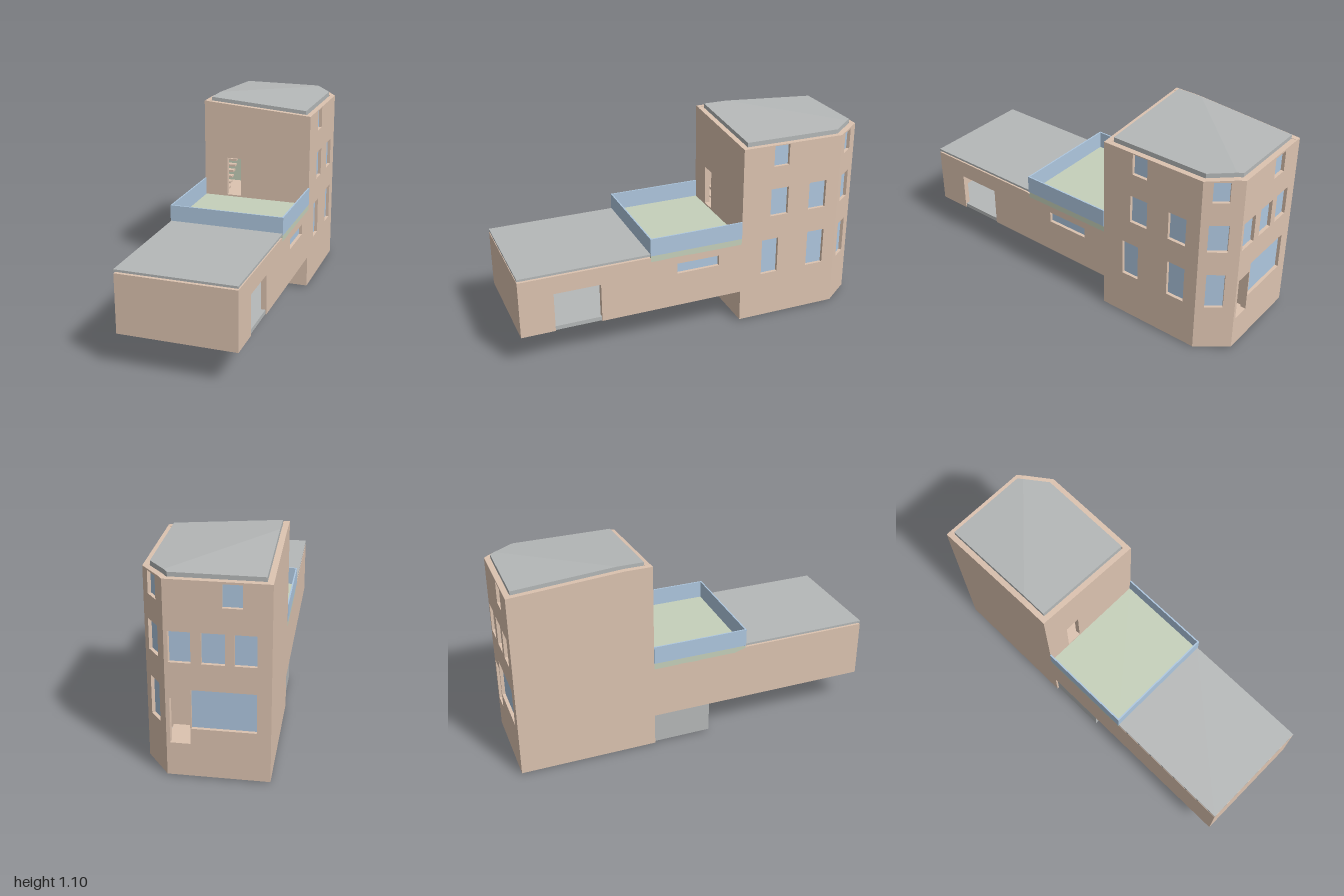
import * as THREE from 'three';
import { ConvexGeometry } from 'three/addons/geometries/ConvexGeometry.js';

const paint = (name, color) => {
  const m = new THREE.MeshStandardMaterial({ color });
  m.name = name;
  return m;
};

export function createModel() {
  const model = new THREE.Group();
  model.name = 'house';
  const tan = paint('tan plaster', 0xdcc3b0);
  const gray = paint('gray slab', 0xb5b8b8);
  const blue = paint('blue glass', 0xaec7df);
  const green = paint('sage green', 0xc5d0ba);

  const add = (parent, name, geometry, material) => {
    const mesh = new THREE.Mesh(geometry, material);
    mesh.name = name;
    parent.add(mesh);
    return mesh;
  };
  // Box given by its limits on each axis
  const box = (parent, name, material, [x0, x1], [y0, y1], [z0, z1]) => {
    const mesh = add(parent, name, new THREE.BoxGeometry(x1 - x0, y1 - y0, z1 - z0), material);
    mesh.position.set((x0 + x1) / 2, (y0 + y1) / 2, (z0 + z1) / 2);
    return mesh;
  };
  const rectPath = (u0, u1, y0, y1) => new THREE.Path([
    new THREE.Vector2(u0, y0), new THREE.Vector2(u0, y1),
    new THREE.Vector2(u1, y1), new THREE.Vector2(u1, y0),
  ]);

  const T = 0.03; // wall thickness
  // Wall from (x,z) a to b, outside on the right-hand side of travel seen from above.
  // Openings are [u0, u1, y0, y1]; windows get a recessed pane, doors stay open.
  function wall(parent, name, a, b, base, top, { windows = [], doors = [], notch } = {}) {
    const dx = b[0] - a[0], dz = b[1] - a[1], len = Math.hypot(dx, dz);
    const group = new THREE.Group();
    group.name = name;
    group.position.set(a[0], 0, a[1]);
    group.rotation.y = Math.atan2(-dz, dx);
    parent.add(group);
    const s = new THREE.Shape();
    s.moveTo(0, base);
    if (notch) {
      const [u0, u1, y1] = notch;
      s.lineTo(u0, base); s.lineTo(u0, y1); s.lineTo(u1, y1); s.lineTo(u1, base);
    }
    s.lineTo(len, base);
    const n = 16;
    for (let i = n; i >= 0; i--) {
      const t = i / n;
      s.lineTo(len * t, top(a[0] + dx * t, a[1] + dz * t));
    }
    [...windows, ...doors].forEach((o) => s.holes.push(rectPath(...o)));
    const g = new THREE.ExtrudeGeometry(s, { depth: T, bevelEnabled: false });
    g.translate(0, 0, -T);
    add(group, 'wallPanel', g, tan);
    windows.forEach(([u0, u1, y0, y1]) =>
      box(group, 'windowPane', blue, [u0, u1], [y0, y1], [-0.026, -0.018]));
  }

  const L = -0.317, R = 0.315;

  // Tower: two sloping roof planes meet along a diagonal crease
  const tower = new THREE.Group();
  tower.name = 'tower';
  model.add(tower);
  const roofY = (x, z) => Math.min(1.103 - 0.076 * (x + 0.285), 1.065 + 0.07 * (z + 0.97));
  const rim = (x, z) => roofY(x, z) - 0.02;
  const B = 0.01, low = [0.275, 0.485], mid = [0.625, 0.785], high = [0.915, 1.032];
  wall(tower, 'towerFrontWall', [L, -0.25], [R, -0.25], B, rim, { doors: [[0.137, 0.222, 0.53, 0.755]] });
  wall(tower, 'towerRightWall', [R, -0.25], [R, -0.84], B, rim, {
    windows: [[0.18, 0.27, ...high], [0.17, 0.275, ...mid], [0.405, 0.51, ...mid],
      [0.125, 0.225, ...low], [0.41, 0.515, ...low]],
  });
  wall(tower, 'towerCornerWall', [R, -0.84], [0.19, -1], B, rim, {
    windows: [[0.05, 0.133, ...high], [0.041, 0.142, ...mid], [0.047, 0.142, ...low]],
  });
  wall(tower, 'towerBackWall', [0.19, -1], [L, -1], B, rim, {
    windows: [[0.275, 0.37, ...high], [0.018, 0.126, ...mid], [0.176, 0.288, ...mid],
      [0.332, 0.438, ...mid], [0.124, 0.438, ...low]],
    doors: [[0.018, 0.118, 0.19, 0.435]],
  });
  wall(tower, 'towerLeftWall', [L, -1], [L, -0.25], B, rim);

  // Roof slab as a convex prism, including the crease ends
  const outline = [[-0.285, -0.285], [0.28, -0.285], [0.28, -0.83], [0.19, -0.944],
    [0.17, -0.97], [-0.285, -0.97], [-0.285, -0.427]];
  const roofPoints = outline.flatMap(([x, z]) =>
    [new THREE.Vector3(x, roofY(x, z), z), new THREE.Vector3(x, 1.0, z)]);
  add(tower, 'towerRoof', new ConvexGeometry(roofPoints), gray);

  // Ground slab with the same cut corner
  const basePoints = outline.flatMap(([x, z]) =>
    [new THREE.Vector3(x, 0, z), new THREE.Vector3(x, 0.03, z)]);
  add(tower, 'groundSlab', new ConvexGeometry(basePoints), gray);

  // Rooms seen through the two open doorways
  box(tower, 'upperFloor', tan, [-0.29, 0.28], [0.5, 0.525], [-0.8, -0.28]);
  box(tower, 'upperRoomWall', green, [-0.29, 0.28], [0.525, 0.9], [-0.56, -0.55]);
  for (let i = 0; i < 9; i++) {
    const y = 0.55 + i * 0.027, z = -0.29 - i * 0.027;
    box(tower, 'stairStep', tan, [-0.285, -0.185], [y, y + 0.012], [z - 0.035, z]);
  }
  box(tower, 'lobbyFloor', tan, [-0.05, 0.19], [0.17, 0.19], [-0.975, -0.82]);
  box(tower, 'lobbyWall', tan, [-0.05, 0.25], [0.17, 0.5], [-0.83, -0.82]);
  box(tower, 'lobbySideWall', tan, [0.05, 0.06], [0.17, 0.5], [-0.968, -0.82]);

  // Long wing raised above the ground, hollow behind the garage opening
  const wing = new THREE.Group();
  wing.name = 'wing';
  model.add(wing);
  const wingTop = (x, z) => (z > 0.29 ? 0.51 : 0.487);
  wall(wing, 'wingFrontWall', [L, 1], [R, 1], 0.19, () => 0.51);
  wall(wing, 'wingRightWall', [R, 1], [R, -0.25], 0.19, wingTop,
    { windows: [[0.87, 1.115, 0.385, 0.445]], notch: [0.185, 0.44, 0.41] });
  wall(wing, 'wingLeftWall', [L, -0.25], [L, 1], 0.19, wingTop);
  box(wing, 'wingFloor', gray, [L + 0.028, R - 0.005], [0.192, 0.215], [0.56, 0.815]);
  box(wing, 'wingFloor', gray, [L + 0.028, R - 0.028], [0.193, 0.214], [-0.25, 0.972]);
  box(wing, 'wingRoof', gray, [L, R], [0.519, 0.531], [0.28, 1]);

  // Terrace with a glass parapet on three sides
  box(wing, 'terraceFloor', green, [L, R], [0.485, 0.521], [-0.25, 0.28]);
  box(wing, 'parapetFront', blue, [L - 0.003, R + 0.003], [0.52, 0.62], [0.275, 0.283]);
  for (const x of [L - 0.003, R - 0.005])
    box(wing, 'parapetSide', blue, [x, x + 0.008], [0.521, 0.62], [-0.25, 0.275]);

  // Entrance shaft under the wing, open at the bottom
  const shaft = new THREE.Group();
  shaft.name = 'entranceShaft';
  model.add(shaft);
  const h = [0.012, 0.193];
  for (const x of [-0.305, -0.195])
    box(shaft, 'shaftSide', gray, [x, x + 0.01], h, [-0.25, 0.075]);
  box(shaft, 'shaftFront', gray, [-0.295, -0.195], h, [0.065, 0.075]);

  return model;
}
